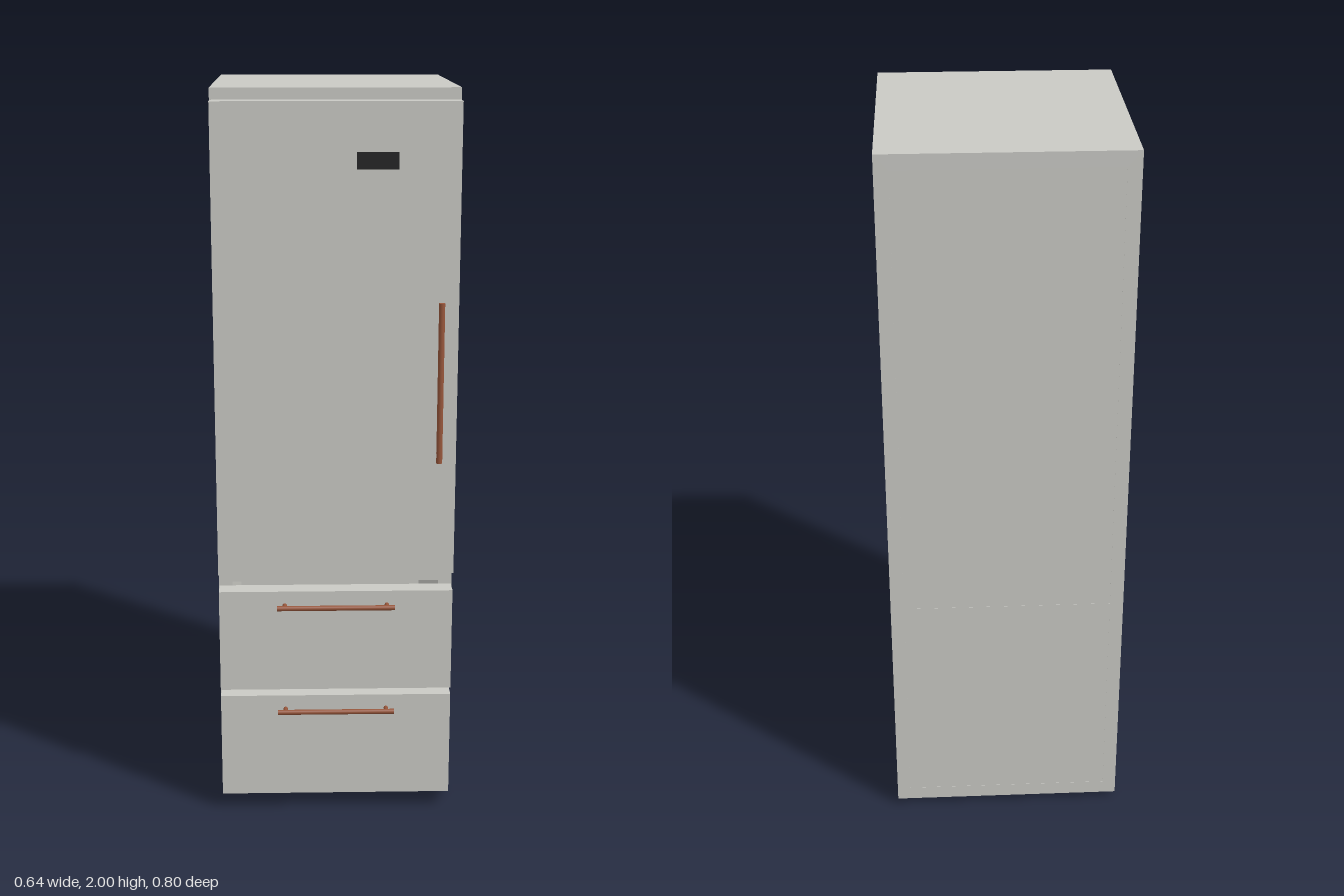
import * as THREE from 'three';

const paint = (name, color) => {
  const m = new THREE.MeshStandardMaterial({ color });
  m.name = name;
  return m;
};

export function createModel() {
  const steel = paint('brushed steel', 0xc9c9c4);
  const copper = paint('copper', 0x96553a);
  const black = paint('black', 0x222224);
  const model = new THREE.Group();
  model.name = 'refrigerator';

  const add = (name, geometry, material, x = 0, y = 0, z = 0, parent = model) => {
    const mesh = new THREE.Mesh(geometry, material);
    mesh.name = name;
    mesh.position.set(x, y, z);
    parent.add(mesh);
    return mesh;
  };
  // Box given by its limits on each axis
  const block = (name, material, x0, x1, y0, y1, z0, z1) =>
    add(name, new THREE.BoxGeometry(x1 - x0, y1 - y0, z1 - z0), material,
      (x0 + x1) / 2, (y0 + y1) / 2, (z0 + z1) / 2);
  const rect = (C, x0, x1, y0, y1) => new C([
    [x0, y0], [x1, y0], [x1, y1], [x0, y1]].map(p => new THREE.Vector2(...p)));

  // Cabinet: open-fronted shell with an upper and a lower compartment
  const outline = rect(THREE.Shape, -0.322, 0.322, 0.02, 2);
  outline.holes.push(rect(THREE.Path, -0.285, 0.285, 0.7, 1.96),
    rect(THREE.Path, -0.285, 0.285, 0.06, 0.665));
  add('cabinetShell', new THREE.ExtrudeGeometry(outline, { depth: 0.7, bevelEnabled: false }),
    steel, 0, 0, -0.4);
  block('cabinetBack', steel, -0.3, 0.3, 0.04, 1.98, -0.3995, -0.36);

  // Door and drawer fronts
  block('door', steel, -0.32, 0.32, 0.71, 1.97, 0.304, 0.365);
  block('upperDrawer', steel, -0.32, 0.32, 0.365, 0.655, 0.302, 0.354);
  block('lowerDrawer', steel, -0.32, 0.32, 0.045, 0.346, 0.302, 0.354);

  // Control display
  block('display', black, 0.053, 0.16, 1.8, 1.844, 0.364, 0.368);

  // Bar handle along local y, with two standoffs reaching back to the panel
  const handle = (name, length, radius, reach, inset) => {
    const group = new THREE.Group();
    group.name = name;
    add('bar', new THREE.CylinderGeometry(radius, radius, length, 20), copper, 0, 0, 0, group);
    for (const s of [-1, 1]) {
      add('standoff', new THREE.CylinderGeometry(0.006, 0.006, reach, 16), copper,
        0, s * (length / 2 - inset), -reach / 2, group).rotation.x = Math.PI / 2;
    }
    model.add(group);
    return group;
  };
  handle('doorHandle', 0.43, 0.008, 0.029, 0.021).position.set(0.273, 1.245, 0.392);
  for (const [name, y] of [['upperDrawerHandle', 0.615], ['lowerDrawerHandle', 0.306]]) {
    const h = handle(name, 0.322, 0.007, 0.026, 0.021);
    h.position.set(0, y, 0.378);
    h.rotation.z = Math.PI / 2;
  }

  // Feet
  for (const x of [-0.27, 0.27]) {
    for (const z of [-0.348, 0.248]) {
      add('foot', new THREE.CylinderGeometry(0.02, 0.02, 0.022, 20), black, x, 0.011, z);
    }
  }
  return model;
}
